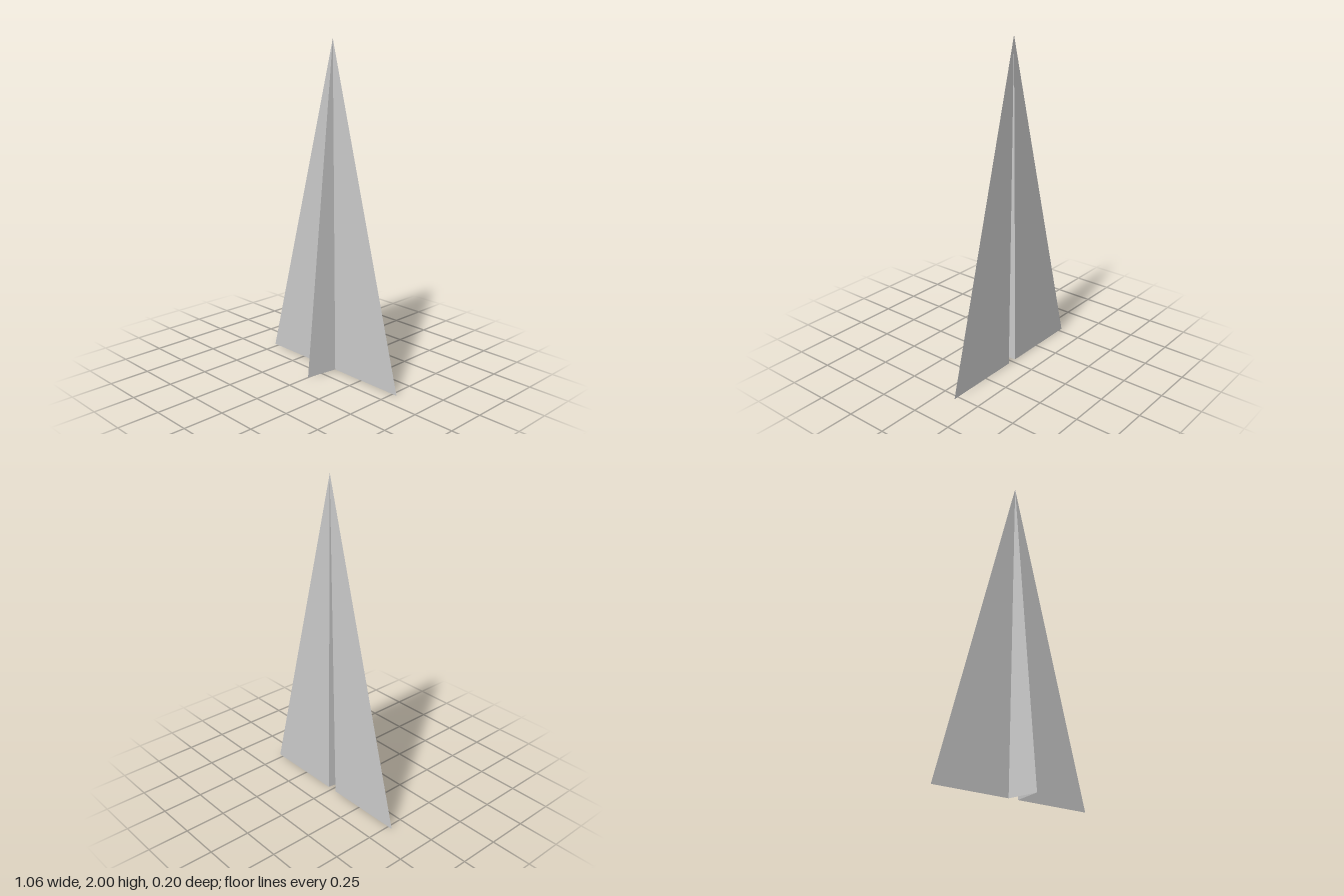
import * as THREE from 'three';

const material = new THREE.MeshStandardMaterial({
  color: 0xcccccc,
  flatShading: true,
  side: THREE.DoubleSide,
});

// One flat triangular panel of folded sheet
function panel(name, a, b, c) {
  const geometry = new THREE.BufferGeometry().setFromPoints([a, b, c]);
  geometry.computeVertexNormals();
  const mesh = new THREE.Mesh(geometry, material);
  mesh.name = name;
  return mesh;
}

export function createModel() {
  const group = new THREE.Group();
  group.name = 'paperPlane';

  const nose = new THREE.Vector3(0, 2, -0.1);
  const keelTail = new THREE.Vector3(0, 0, 0.1);

  for (const [side, s] of [['left', 1], ['right', -1]]) {
    const fold = new THREE.Vector3(s * 0.032, 0, -0.1);
    const wingTip = new THREE.Vector3(s * 0.53, 0, -0.1);
    // Corner order flips with the side so that both halves face outward
    const pair = (p, q) => (s > 0 ? [p, q] : [q, p]);

    // Wing, flat along the back
    group.add(panel(`${side}Wing`, nose, ...pair(fold, wingTip)));
    // Keel wall, slanting from the wing fold to the centre crease
    group.add(panel(`${side}Keel`, nose, ...pair(keelTail, fold)));
  }
  return group;
}
